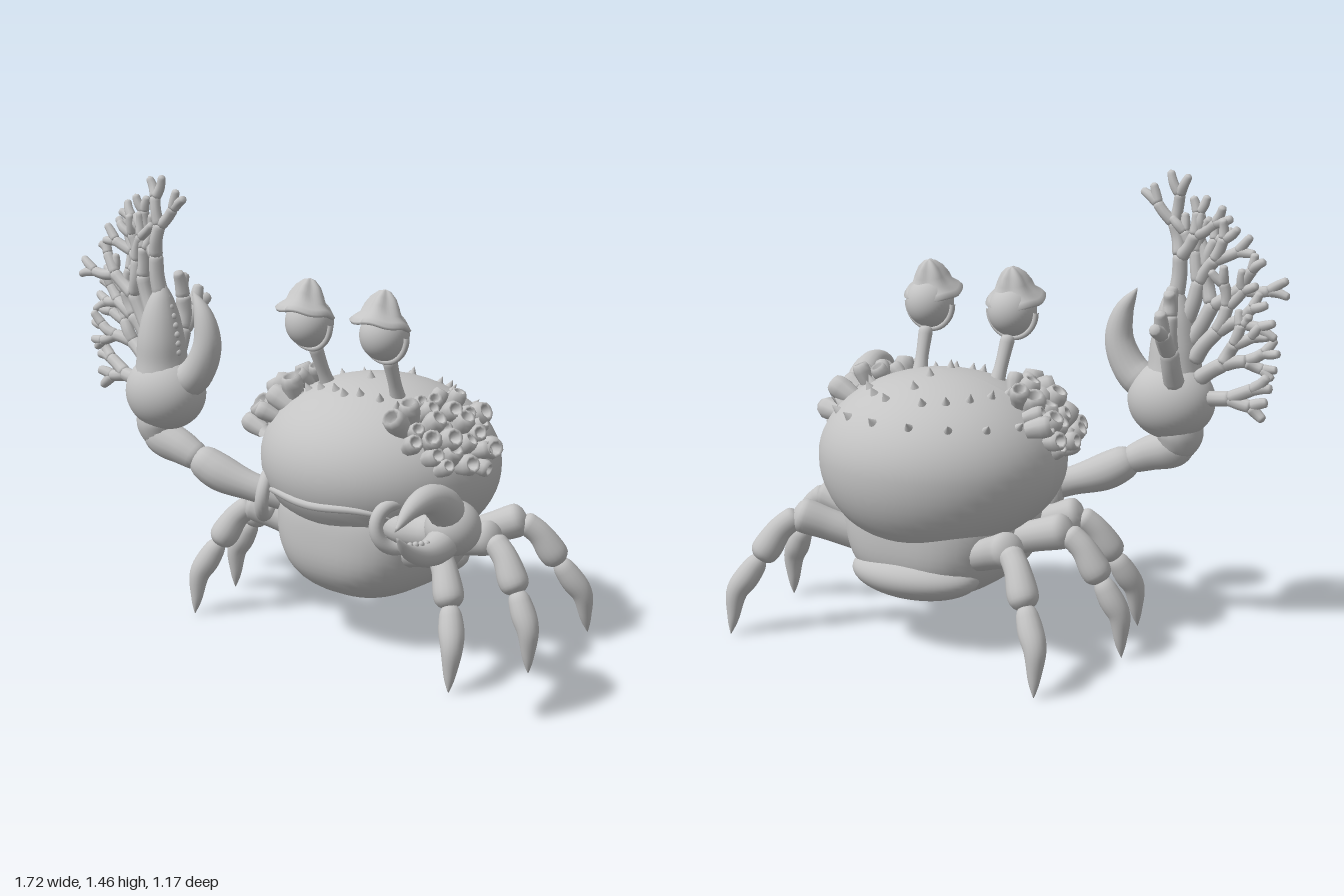
import * as THREE from 'three';
import { mergeVertices } from 'three/addons/utils/BufferGeometryUtils.js';

const grey = new THREE.MeshStandardMaterial({ color: 0xc4c4c4 });
grey.name = 'stone grey';
const greyOpen = new THREE.MeshStandardMaterial({ color: 0xc4c4c4, side: THREE.DoubleSide });
greyOpen.name = 'stone grey';

const V = (x, y, z) => new THREE.Vector3(x, y, z);
const MID = 0.135; // the body's plane of symmetry
const shellCentre = V(MID, 1.165, -0.18), shellSize = V(0.4, 0.272, 0.365);

let seed = 7;
const rand = () => (seed = (seed * 16807) % 2147483647) / 2147483647;

export function createModel() {
  const model = new THREE.Group();
  model.name = 'crab';

  function add(name, geometry, parent = model, material = grey) {
    const mesh = new THREE.Mesh(geometry, material);
    mesh.name = name;
    parent.add(mesh);
    return mesh;
  }
  function group(name) {
    const g = new THREE.Group();
    g.name = name;
    model.add(g);
    return g;
  }
  // Ellipsoid, optionally reshaped by a rule on the unit sphere
  function ball(name, centre, size, parent, rule) {
    const g = new THREE.SphereGeometry(1, 48, 32), pos = g.attributes.position, p = V();
    for (let i = 0; rule && i < pos.count; i++) {
      rule(p.fromBufferAttribute(pos, i));
      pos.setXYZ(i, p.x, p.y, p.z);
    }
    if (rule) g.computeVertexNormals();
    const m = add(name, g, parent);
    m.position.copy(centre);
    m.scale.copy(size);
  }

  // Round-ended tube through [x, y, z, radius] stations
  function limb(name, stations, parent = model, segments = 24, sides = 16) {
    const curve = new THREE.CatmullRomCurve3(stations.map(s => V(s[0], s[1], s[2])));
    const radii = new THREE.CatmullRomCurve3(stations.map((s, i) => V(i, s[3], 0)));
    let g = new THREE.TubeGeometry(curve, segments, 1, sides);
    const pos = g.attributes.position, p = V();
    for (let i = 0; i <= segments; i++) {
      const u = i / segments, c = curve.getPointAt(u);
      const end = Math.min(1, Math.min(u, 1 - u) / 0.14);
      const r = Math.max(0.002, radii.getPoint(curve.getUtoTmapping(u)).y) * Math.sqrt(1 - (1 - end) ** 2);
      for (let j = 0; j <= sides; j++) {
        const k = i * (sides + 1) + j;
        p.fromBufferAttribute(pos, k).sub(c).multiplyScalar(r).add(c);
        pos.setXYZ(k, p.x, p.y, p.z);
      }
    }
    g.deleteAttribute('uv');
    g.deleteAttribute('normal');
    g = mergeVertices(g, 1e-5);
    g.computeVertexNormals();
    add(name, g, parent);
  }

  // Stands a mesh on the shell along its surface normal
  function onShell(mesh, dir, lift) {
    const d = dir.clone().normalize();
    const n = d.clone().divide(shellSize).normalize();
    mesh.position.copy(d).multiply(shellSize).add(shellCentre).addScaledVector(n, lift);
    mesh.quaternion.setFromUnitVectors(V(0, 1, 0), n);
  }

  // Body: dome that sags at the back, squarish bowl below, tail flap
  ball('shell', shellCentre, shellSize, model, p => {
    if (p.y < 0) p.y *= 1 + 0.25 * Math.max(0, -p.z);
  });
  ball('underbody', V(MID, 0.955, -0.165), V(0.292, 0.225, 0.288), model, p => {
    const e = 2.8, sum = Math.abs(p.x) ** e + Math.abs(p.y) ** e + Math.abs(p.z) ** e;
    p.multiplyScalar(sum ** (-1 / e));
    p.x *= 1 + 0.12 * Math.min(0, p.y);
    p.y *= 1 - 0.14 * p.x * p.x;
  });
  ball('tailFlap', V(MID, 0.825, -0.345), V(0.22, 0.08, 0.128));

  // Mouth lip, tapering and drooping at the corners
  const lip = [];
  for (let i = 0; i <= 10; i++) {
    const t = i / 5 - 1, x = t * 0.25;
    const y = 1.086 - 0.006 * Math.cos(t * 4) - 0.028 * t ** 4;
    const k = 1 - (x / 0.4) ** 2 - ((y - 1.165) / 0.272) ** 2;
    lip.push([MID + x, y, -0.18 + 0.365 * Math.sqrt(k), 0.014 - 0.007 * t * t]);
  }
  limb('mouthLip', lip, model, 50, 10);

  // Small spikes in arcs and along the midline
  const spikes = group('shellSpikes');
  const spikeGeo = new THREE.ConeGeometry(0.018, 0.036, 12);
  const spike = (x, z) => {
    const u = x / 0.4, w = z / 0.365;
    onShell(add('spike', spikeGeo, spikes), V(u, Math.sqrt(Math.max(0, 1 - u * u - w * w)), w), 0.008);
  };
  for (const z of [0.18, 0.05, -0.07, -0.16]) spike(0, z);
  for (const s of [1, -1]) {
    for (let i = 0; i < 7; i++) {
      const a = 0.28 + i * 0.3;
      spike(s * 0.235 * Math.sin(a), 0.03 - 0.26 * Math.cos(a));
    }
    for (let i = 0; i < 5; i++) {
      const a = 0.19 + i * 0.36;
      spike(s * 0.34 * Math.sin(a), -0.3 * Math.cos(a));
    }
    for (const x of [0.05, 0.12, 0.18]) spike(s * x, 0.17 - x * 0.15);
  }

  // Barnacle clusters on the shoulders
  const cup = new THREE.LatheGeometry([
    [0.026, -0.03], [0.034, 0.015], [0.033, 0.035], [0.026, 0.05], [0.018, 0.047], [0.014, 0.025], [0, 0.02],
  ].map(p => new THREE.Vector2(...p)), 9);
  for (const s of [1, -1]) {
    const cluster = group(s > 0 ? 'leftBarnacles' : 'rightBarnacles');
    const out = V(s * 0.78, 0.5, 0.22).normalize();
    const a = V(0, 0, 1).cross(out).normalize(), b = out.clone().cross(a);
    for (let i = 0; i < 27; i++) {
      const r = 0.45 * Math.sqrt((i + 0.5) / 27), t = i * 2.4;
      const m = add('barnacle', cup, cluster, greyOpen);
      onShell(m, out.clone().addScaledVector(a, r * Math.cos(t)).addScaledVector(b, r * Math.sin(t)), 0.03 * rand());
      m.rotateX((rand() - 0.5) * 1.0);
      m.rotateZ((rand() - 0.5) * 1.0);
      m.scale.setScalar(0.7 + rand() * 0.45);
    }
  }

  // Stalked eyes with half rings and pointed caps
  const cap = new THREE.LatheGeometry([
    [0, 0.0], [0.06, -0.008], [0.09, -0.012], [0.096, -0.004], [0.085, 0.01], [0.066, 0.026],
    [0.052, 0.052], [0.038, 0.078], [0.018, 0.098], [0, 0.104],
  ].map(p => new THREE.Vector2(...p)), 40);
  const cp = cap.attributes.position;
  for (let i = 0; i < cp.count; i++) {
    const x = cp.getX(i), y = cp.getY(i), z = cp.getZ(i), wave = Math.cos(5 * Math.atan2(z, x));
    const k = y > 0.04 ? 1 + 0.1 * wave : 1;
    cp.setXYZ(i, x * k, y + 0.035 * wave * Math.hypot(x, z), z * k);
  }
  cap.computeVertexNormals();
  for (const s of [1, -1]) {
    const x = MID + s * 0.152, eye = group(s > 0 ? 'leftEye' : 'rightEye');
    limb('stalk', [[x - s * 0.012, 1.37, -0.1, 0.03], [x - s * 0.006, 1.44, -0.07, 0.021], [x, 1.54, -0.03, 0.024]], eye);
    ball('eyeball', V(x, 1.61, -0.008), V(0.077, 0.08, 0.077), eye);
    const ring = add('eyeRing', new THREE.TorusGeometry(0.085, 0.009, 10, 32, Math.PI), eye);
    ring.position.set(x, 1.61, -0.01);
    ring.rotation.z = Math.PI;
    const hat = add('eyeCap', cap, eye, greyOpen);
    hat.position.set(x, 1.648, 0.012);
    hat.rotation.x = -0.24;
  }

  // Three pairs of walking legs: [name, hip, knee, ankle, shin bulge, tip]
  const legs = [
    ['front', [0.2, 0.92, -0.04], [0.4, 0.985, 0.015], [0.485, 0.83, 0.075], [0.525, 0.73, 0.12], [0.53, 0.594, 0.14]],
    ['middle', [0.22, 0.92, -0.2], [0.465, 0.99, -0.185], [0.56, 0.83, -0.165], [0.61, 0.73, -0.15], [0.617, 0.594, -0.147]],
    ['rear', [0.2, 0.9, -0.32], [0.4, 0.985, -0.435], [0.485, 0.83, -0.505], [0.54, 0.73, -0.55], [0.55, 0.594, -0.575]],
  ];
  for (const s of [1, -1]) for (const [name, hip, knee, ankle, shin, tip] of legs) {
    const leg = group(`${name}${s > 0 ? 'Left' : 'Right'}Leg`);
    const at = (p, r) => [MID + s * p[0], p[1], p[2], r];
    const mix = (p, q, t) => p.map((v, i) => v + (q[i] - v) * t);
    limb('thigh', [at(hip, 0.048), at(mix(hip, knee, 0.5), 0.05), at(mix(hip, knee, 0.85), 0.055), at(knee, 0.045)], leg);
    limb('foreleg', [at(mix(knee, hip, 0.1), 0.038), at(mix(knee, ankle, 0.35), 0.04), at(mix(knee, ankle, 0.75), 0.047), at(ankle, 0.036)], leg);
    limb('shin', [at(mix(ankle, knee, 0.12), 0.028), at(mix(ankle, shin, 0.5), 0.039), at(shin, 0.034), at(mix(shin, tip, 0.6), 0.019), at(tip, 0.004)], leg);
  }

  // Shoulder rings
  for (const s of [1, -1]) {
    const ring = add('shoulderRing', new THREE.TorusGeometry(0.07, 0.022, 14, 36));
    ring.position.set(MID + s * 0.268, 1.045, 0.065);
    ring.quaternion.setFromUnitVectors(V(0, 0, 1), V(s * 0.85, 0.1, 0.45).normalize());
  }

  // Raised right arm and large claw
  const right = group('rightClaw');
  limb('upperArm', [[-0.05, 1.02, 0.0, 0.045], [-0.18, 1.06, 0.08, 0.046], [-0.29, 1.1, 0.125, 0.06], [-0.38, 1.155, 0.155, 0.048]], right);
  limb('forearm', [[-0.34, 1.13, 0.145, 0.04], [-0.42, 1.165, 0.16, 0.055], [-0.5, 1.195, 0.17, 0.062], [-0.54, 1.24, 0.17, 0.04]], right);
  limb('wrist', [[-0.5, 1.17, 0.17, 0.05], [-0.515, 1.24, 0.17, 0.075], [-0.5, 1.33, 0.165, 0.06]], right);
  ball('palm', V(-0.488, 1.345, 0.165), V(0.14, 0.125, 0.122), right);
  limb('bigFinger', [[-0.49, 1.34, 0.17, 0.11], [-0.492, 1.44, 0.175, 0.086], [-0.49, 1.52, 0.18, 0.077],
    [-0.488, 1.6, 0.18, 0.06], [-0.484, 1.66, 0.18, 0.037], [-0.48, 1.718, 0.18, 0.006]], right);
  limb('thumb', [[-0.42, 1.37, 0.16, 0.06], [-0.35, 1.43, 0.155, 0.055], [-0.312, 1.52, 0.15, 0.046],
    [-0.325, 1.61, 0.15, 0.032], [-0.373, 1.69, 0.15, 0.005]], right);
  for (let i = 0; i < 7; i++) {
    const tooth = add('tooth', new THREE.SphereGeometry(0.012, 10, 8), right);
    tooth.position.set(-0.417 - i * i * 0.0012, 1.485 + i * 0.029, 0.178);
  }

  // Left arm and small pincer reaching forward
  const left = group('leftClaw');
  limb('upperArm', [[0.33, 1.02, 0.0, 0.045], [0.44, 1.04, 0.075, 0.045], [0.55, 1.07, 0.12, 0.058], [0.64, 1.09, 0.16, 0.046]], left);
  limb('forearm', [[0.58, 1.08, 0.13, 0.035], [0.67, 1.1, 0.17, 0.052], [0.75, 1.14, 0.21, 0.062], [0.78, 1.16, 0.25, 0.045]], left);
  ball('palm', V(0.785, 1.17, 0.29), V(0.08, 0.08, 0.082), left);
  limb('upperFinger', [[0.785, 1.2, 0.3, 0.055], [0.795, 1.255, 0.36, 0.052], [0.803, 1.286, 0.43, 0.04],
    [0.808, 1.275, 0.51, 0.026], [0.81, 1.228, 0.583, 0.004]], left);
  limb('lowerFinger', [[0.785, 1.15, 0.31, 0.05], [0.795, 1.13, 0.38, 0.044], [0.803, 1.133, 0.46, 0.03],
    [0.808, 1.165, 0.53, 0.018], [0.81, 1.212, 0.575, 0.004]], left);
  for (let i = 0; i < 4; i++) {
    const tooth = add('tooth', new THREE.SphereGeometry(0.009, 10, 8), left);
    tooth.position.set(0.802, 1.16 + 0.004 * i, 0.43 + i * 0.025);
  }

  // Branching coral growing behind the raised claw
  const coral = group('coral');
  function branch(p, angle, length, radius, depth, side) {
    const dir = a => V(0, Math.cos(a), 0).addScaledVector(side, Math.sin(a));
    const mid = p.clone().addScaledVector(dir(angle + (rand() - 0.5) * 0.5), length / 2);
    mid.z += (rand() - 0.5) * 0.022;
    const end = mid.clone().addScaledVector(dir(angle), length / 2);
    end.z += (rand() - 0.5) * 0.018;
    limb('coralBranch', [[...p, radius], [...mid, radius * 0.9], [...end, radius * (depth ? 0.88 : 0.7)]], coral, 14, 9);
    if (!depth) return;
    const stem = end.clone().lerp(mid, 0.25);
    for (const s of [1, -1]) {
      branch(stem, angle + s * (0.27 + rand() * 0.25), length * (0.66 + rand() * 0.2), radius * 0.85, depth - 1, side);
    }
  }
  const fan = V(-1, 0, 0);
  for (const [x, y, z, degrees, length, depth] of [[-0.58, 1.36, 0.15, 82, 0.12, 2], [-0.58, 1.42, 0.15, 60, 0.122, 3],
    [-0.56, 1.47, 0.16, 42, 0.145, 3], [-0.54, 1.52, 0.175, 27, 0.165, 3], [-0.52, 1.58, 0.18, 13, 0.16, 3],
    [-0.487, 1.66, 0.18, 0, 0.145, 3]]) {
    branch(V(x, y, z), degrees * Math.PI / 180, length, 0.027, depth, fan);
  }
  branch(V(-0.53, 1.4, 0.1), 0.36, 0.155, 0.034, 2, V(-0.12, 0, -1));

  return model;
}
